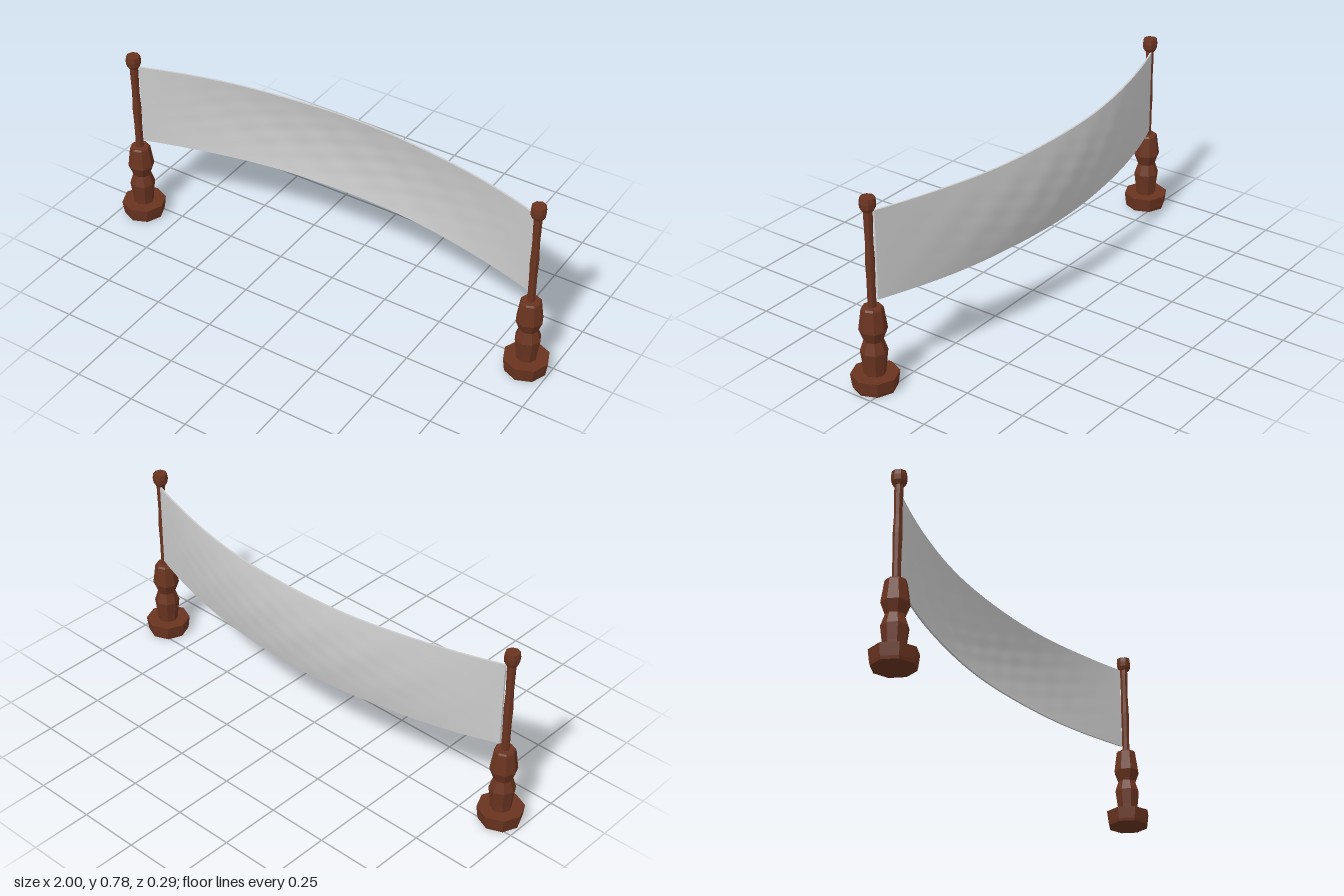
import * as THREE from 'three';

const wood = new THREE.MeshStandardMaterial({ color: 0x6a3420, flatShading: true });
const cloth = new THREE.MeshStandardMaterial({ color: 0xcccccc });

// Faceted turned part from [radius, height] pairs
function turned(name, sides, profile) {
  const points = profile.map(([r, y]) => new THREE.Vector2(r, y));
  const mesh = new THREE.Mesh(new THREE.LatheGeometry(points, sides), wood);
  mesh.name = name;
  return mesh;
}

function createPost(name) {
  const post = new THREE.Group();
  post.name = name;
  post.add(
    turned('foot', 8, [[0, 0], [0.083, 0], [0.086, 0.012], [0.092, 0.06], [0, 0.06]]),
    turned('baluster', 8, [[0.041, 0.055], [0.044, 0.09], [0.052, 0.155], [0.037, 0.2],
      [0.054, 0.245], [0.042, 0.33], [0.037, 0.337], [0, 0.337]]),
    turned('pole', 8, [[0.016, 0.33], [0.016, 0.45], [0.018, 0.52], [0.015, 0.6],
      [0.017, 0.7], [0.016, 0.73]]),
    turned('finial', 8, [[0, 0.721], [0.021, 0.721], [0.029, 0.735], [0.031, 0.755],
      [0.028, 0.776], [0, 0.776]])
  );
  return post;
}

// Thin sheet swept back between the posts, bellied out at mid height
function createBanner() {
  const geometry = new THREE.BoxGeometry(2, 2, 0.008, 96, 24, 1);
  const p = geometry.attributes.position;
  for (let i = 0; i < p.count; i++) {
    const u = p.getX(i), v = p.getY(i);
    const belly = 1 - u * u;
    // soft wrinkles that fade out at the hems
    const wrinkle = 0.0012 * belly * (1 - v * v) *
      (Math.sin(23 * u + 5 * v) + Math.sin(37 * u - 9 * v + 2) * Math.cos(7 * v + 11 * u));
    const z = 0.038 - 0.16 * belly - 0.017 * belly * (1 - v * v) + wrinkle;
    const y = 0.542 - 0.0075 * belly + 0.18 * v + 0.001 * Math.sin(9 * u + v);
    p.setXYZ(i, 0.893 * u, y, z + p.getZ(i));
  }
  geometry.computeVertexNormals();
  const mesh = new THREE.Mesh(geometry, cloth);
  mesh.name = 'banner';
  return mesh;
}

export function createModel() {
  const model = new THREE.Group();
  model.name = 'bannerBetweenPosts';
  for (const side of [1, -1]) {
    const post = createPost(side > 0 ? 'leftPost' : 'rightPost');
    post.position.set(side * 0.908, 0, 0.052);
    model.add(post);
  }
  model.add(createBanner());
  return model;
}
